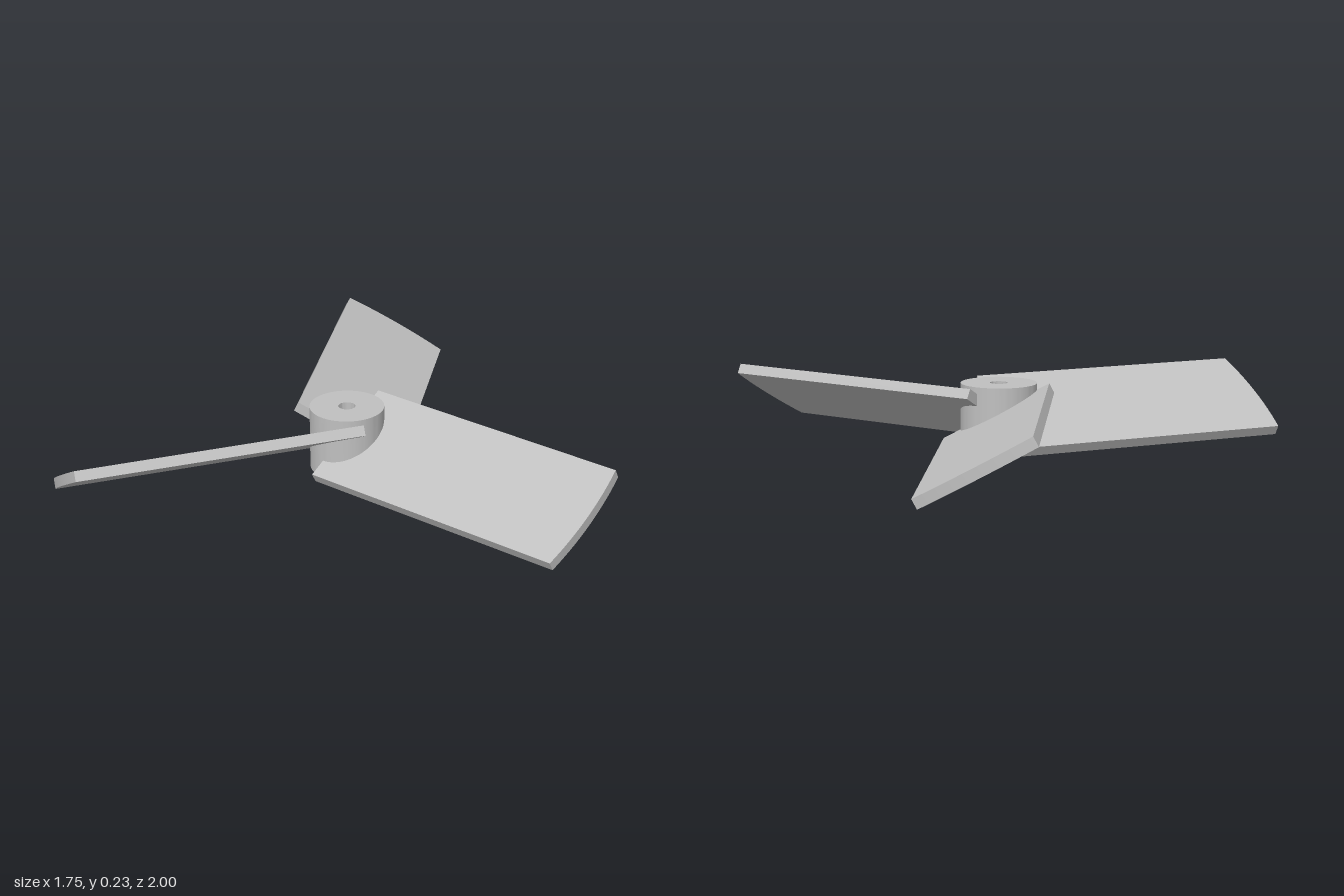
import * as THREE from 'three';
import { toCreasedNormals } from 'three/addons/utils/BufferGeometryUtils.js';

const HEIGHT = 0.235;      // total height of hub and blades
const TIP_RADIUS = 1.06;   // from hub axis to blade tip
const HUB_X = -0.185;
const PITCH = THREE.MathUtils.degToRad(28.4);
const CHORD = 0.424;
const THICKNESS = 0.0375;

// Cylindrical hub with a through bore
function hubGeometry() {
  const shape = new THREE.Shape().absarc(0, 0, 0.135, 0, Math.PI * 2);
  shape.holes.push(new THREE.Path().absarc(0, 0, 0.031, 0, Math.PI * 2, true));
  const geo = new THREE.ExtrudeGeometry(shape, { depth: HEIGHT, bevelEnabled: false, curveSegments: 48 });
  geo.rotateX(-Math.PI / 2);
  return toCreasedNormals(geo, 0.5);
}

// Flat pitched plank: tip rounded about the hub axis, root notched clear of the bore
function bladeGeometry() {
  const h = CHORD / 2, steps = 24;
  const shape = new THREE.Shape().moveTo(0, -h);
  for (let i = 0; i <= steps; i++) {
    const v = -h + (CHORD * i) / steps;
    shape.lineTo(Math.sqrt(TIP_RADIUS ** 2 - (v * Math.cos(PITCH)) ** 2), v);
  }
  shape.lineTo(0, h);
  shape.lineTo(0, 0.08);
  shape.absarc(0, 0, 0.08, Math.PI / 2, -Math.PI / 2, true);
  const geo = new THREE.ExtrudeGeometry(shape, { depth: THICKNESS, bevelEnabled: false });
  geo.translate(0, 0, -THICKNESS / 2);
  geo.rotateX(PITCH - Math.PI / 2);
  geo.translate(0, HEIGHT / 2, 0);
  return toCreasedNormals(geo, 0.5);
}

export function createModel() {
  const grey = new THREE.MeshStandardMaterial({ color: 0xc0c0c0 });
  grey.name = 'light grey';

  const model = new THREE.Group();
  model.name = 'propeller';

  const rotor = new THREE.Group();
  rotor.name = 'rotor';
  rotor.position.x = HUB_X;
  model.add(rotor);

  const hub = new THREE.Mesh(hubGeometry(), grey);
  hub.name = 'hub';
  rotor.add(hub);

  // Three blades evenly spaced around the hub
  const bladeGeo = bladeGeometry();
  for (let i = 0; i < 3; i++) {
    const blade = new THREE.Mesh(bladeGeo, grey);
    blade.name = `blade${i + 1}`;
    blade.rotation.y = (i * Math.PI * 2) / 3;
    rotor.add(blade);
  }
  return model;
}
